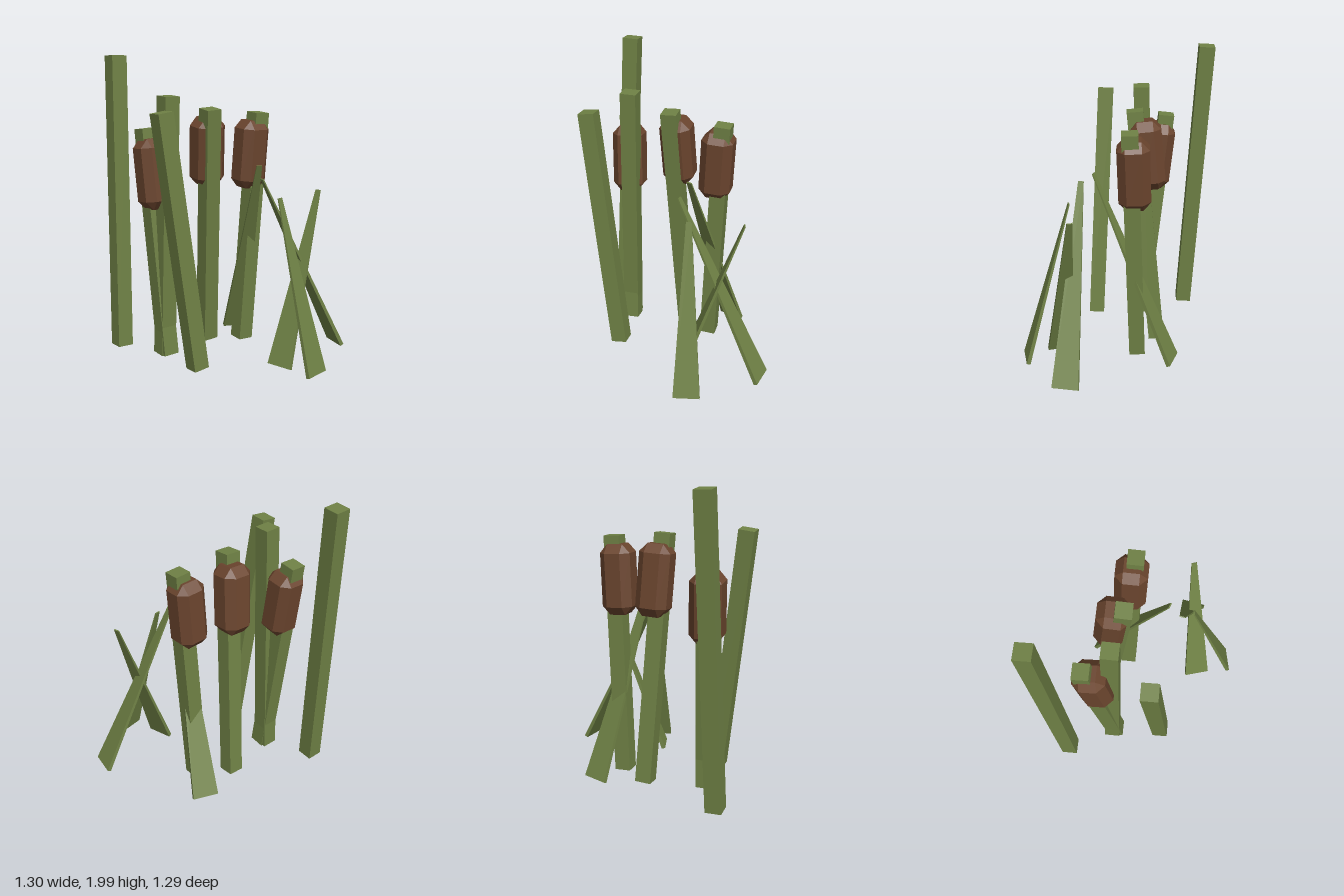
import * as THREE from 'three';
import { ConvexGeometry } from 'three/addons/geometries/ConvexGeometry.js';

const green = new THREE.MeshStandardMaterial({ color: 0x6f8145, flatShading: true });
const brown = new THREE.MeshStandardMaterial({ color: 0x6b452e, flatShading: true });
const V = (a) => new THREE.Vector3(...a);

// Tapered bar from base to tip; widthDir sets which way its broad side runs
function bar(name, base, tip, widthDir, [w0, t0], [w1, t1]) {
  const a = V(base), b = V(tip);
  const y = b.clone().sub(a), length = y.length();
  y.normalize();
  const x = V(widthDir);
  x.addScaledVector(y, -x.dot(y)).normalize();
  const z = new THREE.Vector3().crossVectors(x, y);

  const geometry = new THREE.BoxGeometry(1, length, 1);
  const p = geometry.attributes.position;
  for (let i = 0; i < p.count; i++) {
    const low = p.getY(i) < 0;
    p.setX(i, p.getX(i) * (low ? w0 : w1));
    p.setZ(i, p.getZ(i) * (low ? t0 : t1));
  }
  geometry.computeVertexNormals();

  const mesh = new THREE.Mesh(geometry, green);
  mesh.name = name;
  mesh.quaternion.setFromRotationMatrix(new THREE.Matrix4().makeBasis(x, y, z));
  mesh.position.copy(a).add(b).multiplyScalar(0.5);
  return mesh;
}

// Box with every edge and corner cut off
function seedHeadGeometry(r = 0.103, flat = 0.052, half = 0.228, shoulder = 0.172) {
  const points = [];
  for (const sx of [-1, 1]) for (const sy of [-1, 1]) for (const sz of [-1, 1]) {
    points.push(
      V([sx * r, sy * shoulder, sz * flat]),
      V([sx * flat, sy * shoulder, sz * r]),
      V([sx * flat, sy * half, sz * flat]));
  }
  return new ConvexGeometry(points);
}

export function createModel() {
  const model = new THREE.Group();
  model.name = 'reedClump';

  // Square stalks, three of them carrying a seed head
  const stalks = [
    { base: [-0.593, 0.05, -0.493], tip: [-0.525, 1.997, -0.593] },
    { base: [-0.433, 0.05, -0.195], tip: [-0.397, 1.757, -0.155] },
    { base: [-0.403, 0.053, 0.157], tip: [-0.593, 1.685, 0.087] },
    { base: [-0.425, 0.05, -0.17], tip: [-0.467, 1.542, -0.328], head: [-0.45, 1.255, -0.268] },
    { base: [-0.043, 0.05, -0.27], tip: [-0.113, 1.665, -0.108], head: [-0.083, 1.38, -0.192] },
    { base: [0.157, 0.05, -0.133], tip: [0.248, 1.625, -0.073], head: [0.203, 1.347, -0.102] },
  ];
  const headGeometry = seedHeadGeometry();
  stalks.forEach(({ base, tip, head }, i) => {
    const stalk = bar(`stalk${i + 1}`, base, tip, [1, 0, 0], [0.105, 0.105], [0.105, 0.105]);
    model.add(stalk);
    if (head) {
      const seedHead = new THREE.Mesh(headGeometry, brown);
      seedHead.name = `seedHead${i + 1}`;
      seedHead.position.set(...head);
      seedHead.quaternion.copy(stalk.quaternion);
      model.add(seedHead);
    }
  });

  // Thin leaning leaves, broad at the foot
  const leaves = [
    { base: [0.2, 0.012, 0.615], tip: [0.13, 1.12, 0.312], across: [0.17, 0, -0.035] },
    { base: [0.625, 0.053, 0.328], tip: [0.045, 1.24, 0.236], across: [-0.03, 0, 0.172] },
    { base: [0.077, 0.022, 0.395], tip: [0.476, 1.13, 0.286], across: [0.05, 0, 0.17] },
    { base: [0.272, 0.045, -0.367], tip: [0.087, 1.31, 0.154], across: [0.165, 0, 0.06] },
  ];
  leaves.forEach(({ base, tip, across }, i) => {
    model.add(bar(`leaf${i + 1}`, base, tip, across, [0.175, 0.026], [0.036, 0.008]));
  });

  return model;
}
